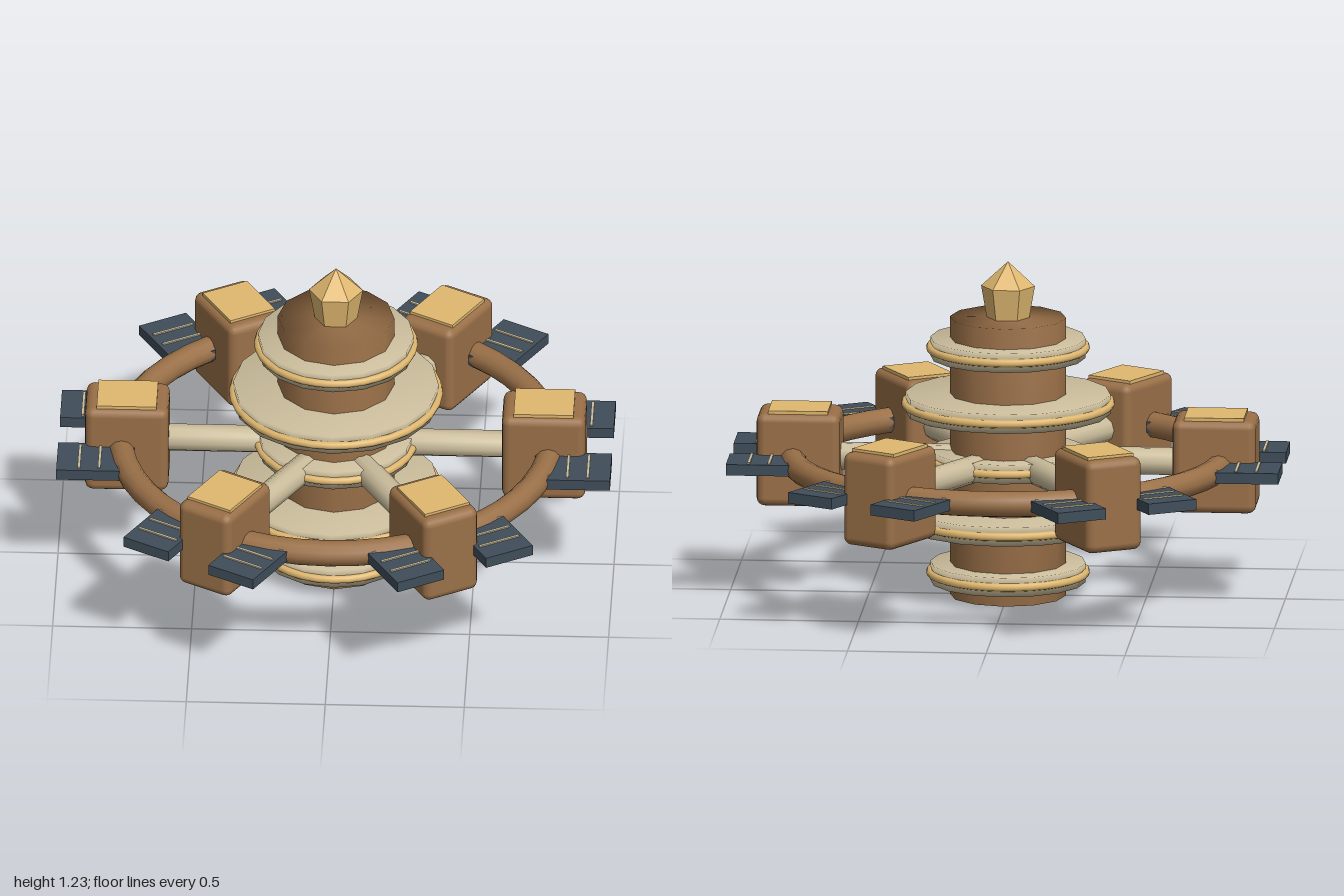
import * as THREE from 'three';
import { mergeVertices } from 'three/addons/utils/BufferGeometryUtils.js';
import { RoundedBoxGeometry } from 'three/addons/geometries/RoundedBoxGeometry.js';

const mat = (color, flatShading = false) => {
  const m = new THREE.MeshStandardMaterial({ color });
  m.flatShading = flatShading;
  return m;
};
const brown = mat(0x9a7048);
const cream = mat(0xcbbd9c);
const gold = mat(0xe0b870);
const goldFlat = mat(0xe0b870, true);
const slate = mat(0x3f4d59);

function add(parent, name, geometry, material, x = 0, y = 0, z = 0) {
  const mesh = new THREE.Mesh(geometry, material);
  mesh.name = name;
  mesh.position.set(x, y, z);
  parent.add(mesh);
  return mesh;
}

// Cylinder whose caps and wall share soft normals
function softCylinder(radius, height, sides) {
  const g = new THREE.CylinderGeometry(radius, radius, height, sides);
  g.deleteAttribute('uv');
  g.deleteAttribute('normal');
  const merged = mergeVertices(g, 1e-4);
  merged.computeVertexNormals();
  return merged;
}

function flatRing(radius, tube, sides, segments) {
  return new THREE.TorusGeometry(radius, tube, sides, segments).rotateX(Math.PI / 2);
}

// Solar panel with raised stripes, extending outward along +x
function makePanel(side) {
  const panel = new THREE.Group();
  panel.name = 'solarPanel';
  panel.position.set(0.858, 0, side * 0.18);
  add(panel, 'panelPlate', new THREE.BoxGeometry(0.276, 0.04, 0.19), slate);
  for (const x of [-0.088, -0.016, 0.057]) {
    add(panel, 'panelStripe', new THREE.BoxGeometry(0.01, 0.008, 0.16), cream, x, 0.021, 0);
  }
  return panel;
}

// One spoke, its pod and the two panels beside it
function makeArm() {
  const arm = new THREE.Group();
  arm.name = 'arm';
  add(arm, 'spoke', softCylinder(0.05, 0.44, 10).rotateZ(Math.PI / 2), cream, 0.42, 0, 0);
  add(arm, 'pod', new RoundedBoxGeometry(0.3, 0.34, 0.22, 2, 0.03), brown, 0.75, 0, 0);
  add(arm, 'podRoofPlate', new THREE.BoxGeometry(0.215, 0.02, 0.18), gold, 0.75, 0.17, 0);
  arm.add(makePanel(1), makePanel(-1));
  return arm;
}

export function createModel() {
  const model = new THREE.Group();
  model.name = 'spaceStation';

  // Central column
  add(model, 'core', softCylinder(0.21, 1.02, 12), brown, 0, 0.51, 0);

  // Stacked decks with gold rims
  const decks = [[0.085, 0.28], [0.29, 0.37], [0.5, 0.28], [0.705, 0.37], [0.91, 0.28]];
  for (const [y, radius] of decks) {
    add(model, 'deck', softCylinder(radius, 0.07, 16), cream, 0, y, 0);
    add(model, 'deckRim', flatRing(radius, 0.015, 8, 32), gold, 0, y, 0);
  }

  // Faceted beacon on top
  const beacon = new THREE.Group();
  beacon.name = 'beacon';
  beacon.rotation.y = Math.PI / 6;
  add(beacon, 'beaconBase', new THREE.CylinderGeometry(0.097, 0.077, 0.115, 6), goldFlat, 0, 1.0775, 0);
  add(beacon, 'beaconTip', new THREE.ConeGeometry(0.097, 0.09, 6), goldFlat, 0, 1.18, 0);
  model.add(beacon);

  // Outer ring and six arms
  add(model, 'outerRing', flatRing(0.775, 0.047, 12, 48), brown, 0, 0.5, 0);
  for (let i = 0; i < 6; i++) {
    const arm = makeArm();
    arm.position.y = 0.5;
    arm.rotation.y = (i * Math.PI) / 3;
    model.add(arm);
  }
  return model;
}
